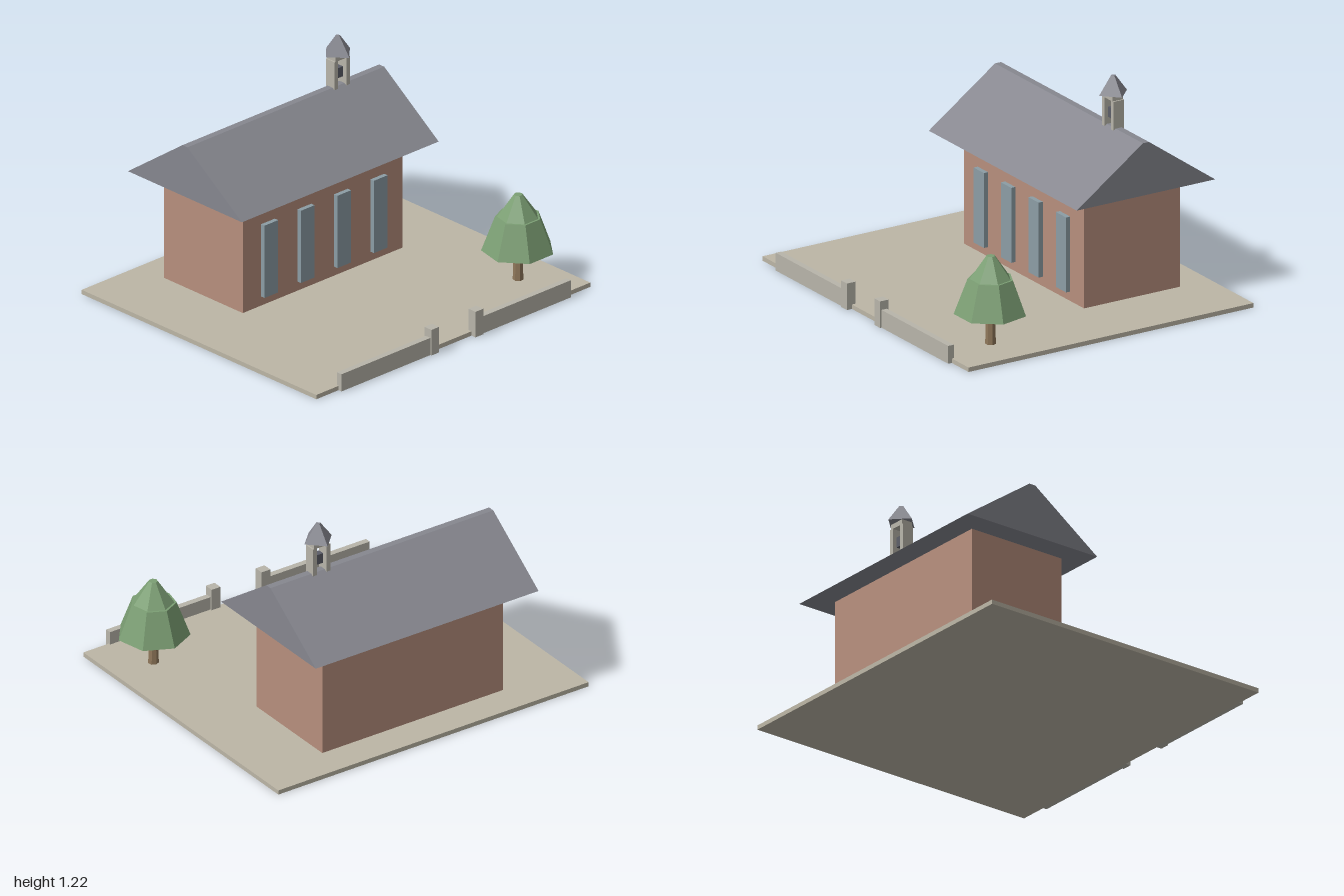
import * as THREE from 'three';

const mat = (color) => new THREE.MeshStandardMaterial({ color, flatShading: true });

export function createModel() {
  const model = new THREE.Group();
  const stone = mat(0xb8b5aa), sand = mat(0xbcb6a6), brick = mat(0xb78f7d);
  const slate = mat(0x86878f), glass = mat(0x8c9da5), bark = mat(0x8f775a);
  const leaf = mat(0x7c9f74), iron = mat(0x5c5e68);

  const add = (name, geometry, material, x, y, z, parent = model) => {
    const mesh = new THREE.Mesh(geometry, material);
    mesh.name = name;
    mesh.position.set(x, y, z);
    parent.add(mesh);
    return mesh;
  };
  // Box given by its lowest y
  const box = (name, material, w, h, d, x, y, z, parent) =>
    add(name, new THREE.BoxGeometry(w, h, d), material, x, y + h / 2, z, parent);
  // Tapered prism given by its lowest y
  const taper = (name, material, top, bottom, h, sides, x, y, z, parent) =>
    add(name, new THREE.CylinderGeometry(top, bottom, h, sides), material, x, y + h / 2, z, parent);

  // Ground slab
  box('ground', sand, 2, 0.025, 1.79, 0, 0, -0.015);

  // Hall with a row of tall windows
  const cz = -0.417;
  box('hallWalls', brick, 1.166, 0.64, 0.602, -0.001, 0.008, cz);
  for (let i = 0; i < 4; i++)
    box('window', glass, 0.1, 0.422, 0.05, -0.4 + i * 0.266, 0.078, -0.115);

  // Gabled roof with a narrow flat ridge
  const gable = new THREE.Shape([
    new THREE.Vector2(-0.435, 0), new THREE.Vector2(0.435, 0),
    new THREE.Vector2(0.019, 0.295), new THREE.Vector2(-0.019, 0.295),
  ]);
  const roof = new THREE.ExtrudeGeometry(gable, { depth: 1.436, bevelEnabled: false });
  roof.translate(0, 0, -0.718).rotateY(Math.PI / 2);
  add('roof', roof, slate, 0, 0.645, cz);

  // Bell turret on the ridge
  const turret = new THREE.Group();
  turret.name = 'bellTurret';
  turret.position.set(0.398, 0.93, cz);
  model.add(turret);
  for (const s of [-1, 1]) box('turretPost', stone, 0.026, 0.163, 0.066, s * 0.043, 0, 0, turret);
  box('turretBeam', stone, 0.096, 0.028, 0.066, 0, 0.162, 0, turret);
  box('bell', iron, 0.038, 0.058, 0.038, 0, 0.053, 0, turret);
  taper('turretRoof', slate, 0.014, 0.088, 0.1, 4, 0, 0.19, 0, turret);

  // Front fence with two gate posts
  for (const s of [-1, 1]) {
    box('fenceWall', stone, 0.676, 0.1, 0.035, s * 0.499, 0, 0.885);
    box('gatePost', stone, 0.056, 0.149, 0.054, s * 0.161, 0, 0.884);
  }

  // Seven-sided tree
  const tree = new THREE.Group();
  tree.name = 'tree';
  tree.position.set(0.757, 0, 0.584);
  tree.rotation.y = Math.PI;
  model.add(tree);
  taper('trunk', bark, 0.024, 0.03, 0.22, 7, 0, 0.003, 0, tree);
  taper('lowerFoliage', leaf, 0.124, 0.197, 0.193, 7, 0, 0.2, 0, tree);
  taper('upperFoliage', leaf, 0.024, 0.112, 0.126, 7, 0, 0.393, 0, tree);

  return model;
}
